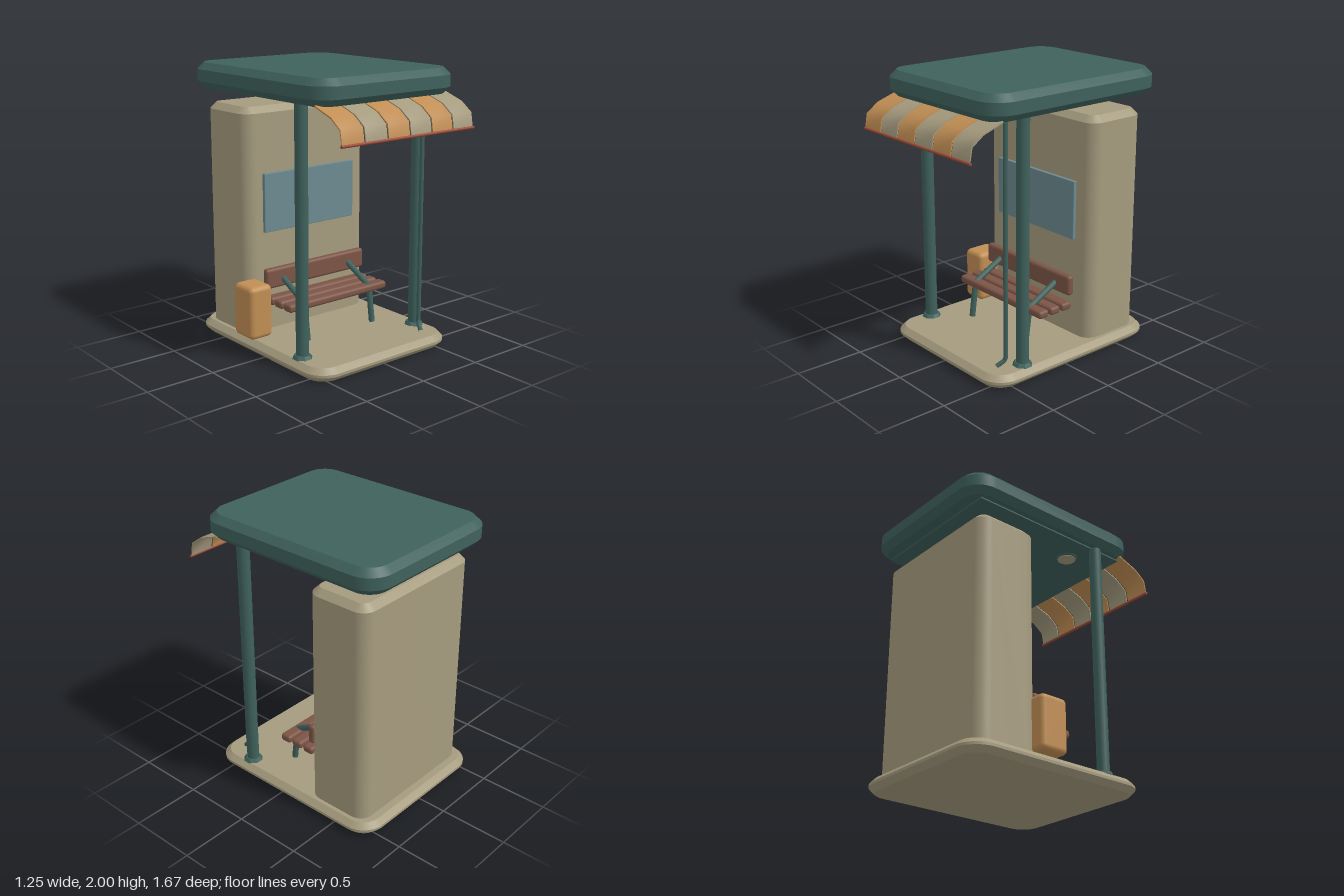
import * as THREE from 'three';
import { toCreasedNormals } from 'three/addons/utils/BufferGeometryUtils.js';
import { RoundedBoxGeometry } from 'three/addons/geometries/RoundedBoxGeometry.js';

const paint = (name, color) => {
  const m = new THREE.MeshStandardMaterial({ color });
  m.name = name;
  return m;
};

// Rounded rectangle slab with chamfered rims, lying flat, bottom at y = 0
function slabGeometry(w, d, h, r, bevel) {
  const x = w / 2 - bevel, y = d / 2 - bevel, c = r - bevel;
  const s = new THREE.Shape();
  s.moveTo(x, -y + c);
  s.absarc(x - c, y - c, c, 0, Math.PI / 2);
  s.absarc(-x + c, y - c, c, Math.PI / 2, Math.PI);
  s.absarc(-x + c, -y + c, c, Math.PI, Math.PI * 1.5);
  s.absarc(x - c, -y + c, c, Math.PI * 1.5, Math.PI * 2);
  const g = new THREE.ExtrudeGeometry(s, {
    depth: h - 2 * bevel, bevelEnabled: true, bevelSize: bevel,
    bevelThickness: bevel, bevelSegments: 1, curveSegments: 6,
  });
  g.translate(0, 0, bevel);
  g.rotateX(-Math.PI / 2);
  return toCreasedNormals(g, 0.65);
}

export function createModel() {
  const model = new THREE.Group();
  model.name = 'busShelter';

  const teal = paint('tealMetal', 0x3f615c);
  const beige = paint('beigePlaster', 0xa59b7e);
  const orange = paint('orange', 0xc18e54);
  const wood = paint('brownWood', 0x7c5546);
  const red = paint('redTrim', 0x9c4a38);
  const glass = paint('blueGlass', 0x6b8a91);

  const add = (name, geometry, material, x = 0, y = 0, z = 0, parent = model) => {
    const mesh = new THREE.Mesh(geometry, material);
    mesh.name = name;
    mesh.position.set(x, y, z);
    parent.add(mesh);
    return mesh;
  };
  const CX = 0.01;

  // Main masses
  add('base', slabGeometry(1.23, 1.47, 0.095, 0.17, 0.038), beige, CX, 0, -0.08);
  add('roof', slabGeometry(1.23, 1.505, 0.178, 0.18, 0.047), teal, CX, 1.822, -0.0825);
  add('booth', slabGeometry(1.1, 0.49, 1.675, 0.1, 0.045), beige, CX, 0.045, -0.48);
  add('ceilingPanel', new THREE.BoxGeometry(1.06, 0.012, 1.29), teal, CX, 1.818, -0.065);
  add('windowPanel', new RoundedBoxGeometry(0.81, 0.425, 0.035, 1, 0.004), glass, CX, 1.0375, -0.2275);

  // Posts, feet and ceiling lamps, mirrored left and right
  for (const side of [-1, 1]) {
    const px = CX + side * 0.52;
    add('post', new THREE.CylinderGeometry(0.044, 0.044, 1.74, 20), teal, px, 0.96, 0.355);
    const foot = add('postFoot', toCreasedNormals(new THREE.CylinderGeometry(0.056, 0.072, 0.025, 8), 0.3),
      teal, px, 0.105, 0.355);
    foot.rotation.y = Math.PI / 8;
    const lx = CX + side * 0.32;
    add('lampRim', new THREE.CylinderGeometry(0.085, 0.075, 0.02, 20), teal, lx, 1.812, 0.26);
    add('lampLens', new THREE.CylinderGeometry(0.066, 0.066, 0.006, 20), beige, lx, 1.801, 0.26);
  }

  // Drainpipe with a kicked-out end
  const drain = new THREE.CurvePath();
  const drainPoints = [
    [0.477, 1.83, 0.457], [0.477, 0.16, 0.457], [0.472, 0.135, 0.465], [0.448, 0.1, 0.515],
  ].map((p) => new THREE.Vector3(...p));
  for (let i = 0; i < 3; i++) drain.add(new THREE.LineCurve3(drainPoints[i], drainPoints[i + 1]));
  add('drainpipe', new THREE.TubeGeometry(drain, 120, 0.016, 10), teal);

  // Striped awning: a bent strip profile (z, y) extruded along x
  const awning = new THREE.Group();
  awning.name = 'awning';
  model.add(awning);
  const profile = [[0.56, 1.832], [0.72, 1.778], [0.81, 1.712], [0.827, 1.612]];
  const inner = [[0.82, 1.612], [0.802, 1.708], [0.716, 1.768], [0.56, 1.822]];
  const strip = new THREE.Shape([...profile, ...inner].map(([z, y]) => new THREE.Vector2(-z, y)));
  const pitch = 0.193, gap = 0.012;
  const stripGeometry = new THREE.ExtrudeGeometry(strip, { depth: pitch - gap, bevelEnabled: false });
  stripGeometry.rotateY(Math.PI / 2);
  const stripSmooth = toCreasedNormals(stripGeometry, 0.9);
  for (let i = 0; i < 6; i++) {
    add('awningStripe', stripSmooth, i % 2 ? beige : orange, -0.565 + i * pitch, 0, 0, awning);
  }
  const bar = add('awningBar', new THREE.CylinderGeometry(0.01, 0.01, 1.16, 10), red, CX, 1.61, 0.825, awning);
  bar.rotation.z = Math.PI / 2;

  // Bench: three seat slats, a backrest and two bent tube frames
  const bench = new THREE.Group();
  bench.name = 'bench';
  model.add(bench);
  for (const z of [0.088, -0.018, -0.125]) {
    add('seatSlat', new RoundedBoxGeometry(0.9, 0.058, 0.088, 3, 0.022), wood, CX, 0.354, z, bench);
  }
  add('backrest', new RoundedBoxGeometry(0.9, 0.147, 0.056, 3, 0.022), wood, CX, 0.502, -0.162, bench);
  const tube = (name, a, b, x) => {
    const from = new THREE.Vector3(0, ...a), to = new THREE.Vector3(0, ...b);
    const mesh = add(name, new THREE.CylinderGeometry(0.022, 0.022, from.distanceTo(to), 12), teal, 0, 0, 0, bench);
    mesh.position.copy(from).add(to).multiplyScalar(0.5).setX(x);
    mesh.quaternion.setFromUnitVectors(new THREE.Vector3(0, 1, 0), to.sub(from).normalize());
  };
  for (const side of [-1, 1]) {
    const x = CX + side * 0.302;
    tube('benchLeg', [0.1, 0.136], [0.365, 0.1], x);
    tube('benchArm', [0.365, 0.1], [0.495, -0.15], x);
    add('benchJoint', new THREE.SphereGeometry(0.022, 12, 8), teal, x, 0.365, 0.1, bench);
    add('benchArmEnd', new THREE.SphereGeometry(0.022, 12, 8), teal, x, 0.495, -0.15, bench);
  }

  // Litter bin beside the booth
  add('bin', new RoundedBoxGeometry(0.19, 0.385, 0.22, 3, 0.038), orange, -0.535, 0.3, -0.175);

  return model;
}
